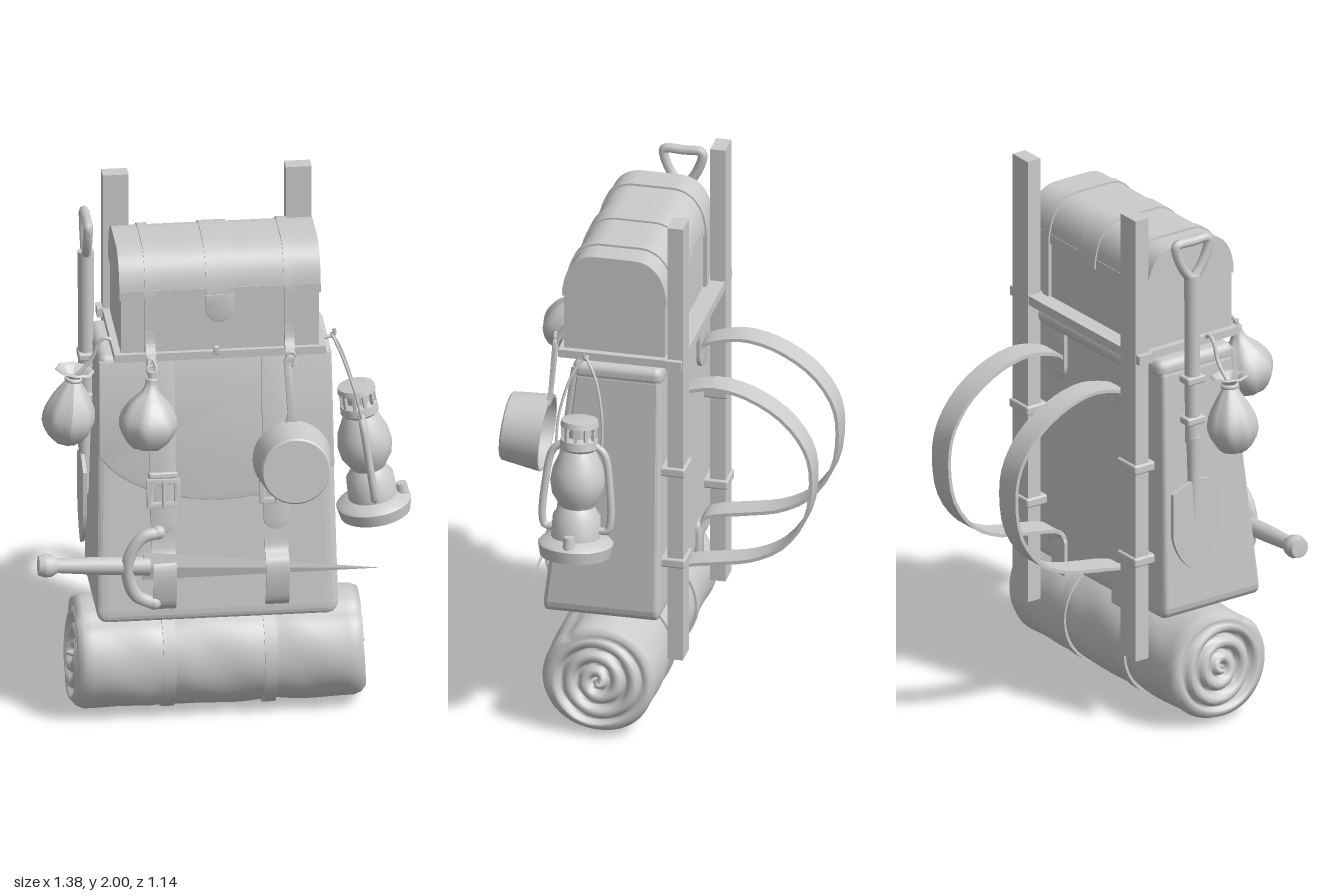
import * as THREE from 'three';
import { toCreasedNormals, mergeVertices } from 'three/addons/utils/BufferGeometryUtils.js';
import { RoundedBoxGeometry } from 'three/addons/geometries/RoundedBoxGeometry.js';

const mat = new THREE.MeshStandardMaterial({ color: 0xcccccc, side: THREE.DoubleSide });
const V = (x, y, z) => new THREE.Vector3(x, y, z);
const P = (x, y) => new THREE.Vector2(x, y);

function add(parent, name, geo, x = 0, y = 0, z = 0, rx = 0, ry = 0, rz = 0) {
  const m = new THREE.Mesh(geo, mat);
  m.name = name;
  m.position.set(x, y, z);
  m.rotation.set(rx, ry, rz);
  parent.add(m);
  return m;
}
function sub(parent, name, x, y, z, rx = 0, ry = 0, rz = 0) {
  const g = new THREE.Group();
  g.name = name;
  g.position.set(x, y, z);
  g.rotation.set(rx, ry, rz);
  parent.add(g);
  return g;
}
const box = (w, h, d, r = 0.008) => new RoundedBoxGeometry(w, h, d, 2, r);
const cyl = (a, b, h, n = 20) => new THREE.CylinderGeometry(a, b, h, n);
const tube = (pts, r, n = 32) => new THREE.TubeGeometry(new THREE.CatmullRomCurve3(pts), n, r, 8);
const lathe = (pts, n = 32) => toCreasedNormals(new THREE.LatheGeometry(pts.map(p => P(...p)), n), 0.6);
const extrude = (shape, depth, bevel = 0) => toCreasedNormals(new THREE.ExtrudeGeometry(shape, {
  depth, curveSegments: 14, bevelEnabled: bevel > 0, bevelSize: bevel, bevelThickness: bevel, bevelSegments: 2 }), 0.6);
// Shape drawn in (z, y), extruded along x and centred there
const extrudeX = (shape, w) => extrude(shape, w).translate(0, 0, -w / 2).rotateY(-Math.PI / 2);

// Strap end: straight top, round bottom
function tongue(w, y0, y1, depth = 0.012) {
  const s = new THREE.Shape(), h = w / 2;
  s.moveTo(h, y1); s.lineTo(-h, y1); s.lineTo(-h, y0 + h);
  s.absarc(0, y0 + h, h, Math.PI, Math.PI * 2, false);
  return extrude(s, depth, 0.002);
}
// Band of even thickness following (z, y) points
function ribbon(pts, w, t) {
  const c = new THREE.SplineCurve(pts.map(p => P(...p))), a = [], b = [];
  for (let i = 0; i <= 40; i++) {
    const p = c.getPoint(i / 40), d = c.getTangent(i / 40);
    a.push(P(p.x - d.y * t / 2, p.y + d.x * t / 2));
    b.unshift(P(p.x + d.y * t / 2, p.y - d.x * t / 2));
  }
  return extrudeX(new THREE.Shape([...a, ...b]), w);
}
// Arched chest outline, grown by o, from height y0 up
function arch(o, y0) {
  const s = new THREE.Shape(), f = 0.33 + o, b = -0.05 - o, t = 1.845 + o;
  s.moveTo(b, y0); s.lineTo(f, y0); s.lineTo(f, 1.68);
  s.bezierCurveTo(f, 1.78, 0.29, t, 0.21, t);
  s.lineTo(0.07, t);
  s.bezierCurveTo(-0.01, t, b, 1.78, b, 1.68);
  return s;
}
// Rolled mat with spiral ends and soft folds
function matRoll(R, half) {
  const pts = [], caps = 20;
  for (let i = 0; i <= caps; i++) pts.push(P((R - 0.035) * i / caps, -half));
  pts.push(P(R - 0.012, -half + 0.012));
  for (let i = 0; i <= 36; i++) pts.push(P(R, (-1 + i / 18) * (half - 0.04)));
  pts.push(P(R - 0.012, half - 0.012));
  for (let i = caps; i >= 0; i--) pts.push(P((R - 0.035) * i / caps, half));
  let g = new THREE.LatheGeometry(pts, 72);
  const p = g.attributes.position;
  for (let i = 0; i < p.count; i++) {
    const x = p.getX(i), y = p.getY(i), z = p.getZ(i), r = Math.hypot(x, z), a = Math.atan2(z, x);
    if (Math.abs(y) > half - 0.001) {
      const groove = Math.pow(Math.abs(Math.cos(Math.PI * (r / 0.06 - a / (2 * Math.PI)))), 5);
      p.setY(i, y - Math.sign(y) * (0.03 * groove + 0.012 * Math.sin(a + 1)));
    } else {
      const pinch = Math.exp(-Math.pow((Math.abs(y) - 0.19) / 0.05, 2));
      const k = 1 - 0.03 * pinch + 0.02 * Math.sin(3 * a + 14 * y) * Math.sin(9 * y + a)
        - 0.06 * Math.exp(-Math.pow((a - 0.6) / 0.12, 2)) * (0.4 + Math.abs(y));
      p.setXYZ(i, x * k, y, z * k);
    }
  }
  g.deleteAttribute('normal'); g.deleteAttribute('uv');
  g = mergeVertices(g, 1e-4);
  g.computeVertexNormals();
  return g.rotateZ(Math.PI / 2);
}
// Soft pouch with pleats gathered at the neck
function pouch(pts, folds) {
  const g = new THREE.LatheGeometry(new THREE.SplineCurve(pts.map(p => P(...p))).getPoints(18), 28), p = g.attributes.position;
  for (let i = 0; i < p.count; i++) {
    const a = Math.atan2(p.getZ(i), p.getX(i)), k = 1 + 0.05 * Math.cos(folds * a) + 0.03 * Math.sin(2 * a + 8 * p.getY(i));
    p.setX(i, p.getX(i) * k); p.setZ(i, p.getZ(i) * k);
  }
  g.computeVertexNormals();
  return g;
}

export function createModel() {
  const root = new THREE.Group();
  root.name = 'travelPack';

  // Carrying frame
  for (const x of [-0.352, 0.313]) {
    add(root, 'framePost', new THREE.BoxGeometry(0.094, 1.735, 0.057), x, 1.1325, -0.089);
    for (const y of [1.02, 0.655]) add(root, 'postBand', box(0.115, 0.036, 0.1), x, y, -0.077);
  }
  add(root, 'shelf', new THREE.BoxGeometry(0.77, 0.03, 0.4), -0.015, 1.455, 0.145);
  add(root, 'frameBar', new THREE.BoxGeometry(0.8, 0.035, 0.06), -0.02, 1.455, -0.085);

  // Bag body, deeper toward the bottom
  const bag = box(1, 1, 1, 0.045), bp = bag.attributes.position;
  for (let i = 0; i < bp.count; i++) {
    const t = bp.getY(i) + 0.5, depth = 0.44 - 0.125 * t;
    bp.setXYZ(i, -0.03 + bp.getX(i) * (0.88 - 0.035 * t), 0.425 + t, -0.04 + depth * (bp.getZ(i) + 0.5));
  }
  bag.computeVertexNormals();
  add(root, 'bagBody', bag);
  add(root, 'flapTop', box(0.85, 0.07, 0.335, 0.03), -0.028, 1.405, 0.12);
  add(root, 'flapFold', cyl(0.045, 0.045, 0.56, 16), -0.02, 1.39, -0.03, 0, 0, Math.PI / 2);
  for (const x of [-0.225, 0.185]) add(root, 'topStrap', box(0.09, 0.02, 0.34), x, 1.44, 0.12);

  // Everything lying on the sloping front panel
  const front = sub(root, 'frontPanel', 0, 0.43, 0.4, -0.124);
  const flap = new THREE.Shape();
  flap.moveTo(0.39, 0.99); flap.lineTo(-0.445, 0.99); flap.lineTo(-0.45, 0.64);
  flap.bezierCurveTo(-0.36, 0.49, -0.1, 0.45, 0.02, 0.46);
  flap.bezierCurveTo(0.2, 0.47, 0.34, 0.5, 0.395, 0.57);
  add(front, 'flap', extrude(flap, 0.014, 0.005), 0, 0, -0.006);
  for (const x of [-0.225, 0.185]) {
    add(front, 'frontStrap', tongue(0.09, 0.34, 1.0), x, 0, 0.012);
    const frame = new THREE.Shape([P(-0.058, -0.052), P(0.058, -0.052), P(0.058, 0.052), P(-0.058, 0.052)]);
    frame.holes.push(new THREE.Path([P(-0.042, -0.036), P(-0.042, 0.036), P(0.042, 0.036), P(0.042, -0.036)]));
    add(front, 'buckleFrame', extrude(frame, 0.012, 0.003), x, 0.495, 0.028);
    add(front, 'bucklePin', cyl(0.007, 0.007, 0.1, 8), x, 0.495, 0.042);
    add(front, 'keeper', box(0.105, 0.025, 0.03), x, 0.56, 0.02);
    // Lower strap looping over the blade
    add(front, 'bladeLoop', ribbon([[0, 0.05], [0.025, 0.08], [0.048, 0.16], [0.048, 0.22], [0.012, 0.27], [0.01, 0.4]], 0.085, 0.01), x);
  }

  // Sleeping roll with its straps
  add(root, 'sleepingRoll', matRoll(0.207, 0.53), -0.013, 0.217, 0.168);
  for (const x of [-0.2, 0.168]) {
    add(root, 'rollStrap', cyl(0.211, 0.211, 0.046, 40), x, 0.214, 0.168, 0, 0, Math.PI / 2);
    add(root, 'rollTab', tongue(0.075, -0.16, 0.0), x, 0.4, -0.04, 0, Math.PI, Math.PI);
  }

  // Shoulder straps
  const loop = [[-0.03, 1.2], [-0.055, 1.26], [-0.12, 1.29], [-0.22, 1.305], [-0.34, 1.275], [-0.46, 1.2], [-0.54, 1.09],
    [-0.562, 0.97], [-0.54, 0.82], [-0.46, 0.7], [-0.35, 0.635], [-0.22, 0.607], [-0.12, 0.59], [-0.06, 0.565], [-0.04, 0.5]];
  for (const x of [-0.231, 0.184]) {
    add(root, 'shoulderStrap', ribbon(loop, 0.1, 0.013), x);
    add(root, 'strapPatch', tongue(0.11, 1.17, 1.41), x, 0, -0.054);
  }

  // Chest with lid and bands
  add(root, 'chestBase', extrudeX(arch(-0.003, 1.465), 0.72), -0.015);
  add(root, 'chestLid', extrudeX(arch(0.003, 1.715), 0.732), -0.015);
  for (const x of [-0.27, 0.236]) {
    add(root, 'chestBand', extrudeX(arch(0.011, 1.465), 0.037), x);
    add(root, 'hangingStrap', ribbon([[0.338, 1.56], [0.345, 1.51], [0.37, 1.47], [0.375, 1.44]], 0.035, 0.01), x);
    add(root, 'hangingRing', new THREE.TorusGeometry(0.016, 0.005, 8, 16), x, 1.455, 0.385);
  }
  add(root, 'lidBand', extrudeX(arch(0.01, 1.68), 0.1), -0.016);
  add(root, 'lidTongue', tongue(0.1, 1.585, 1.69), -0.016, 0, 0.328);
  add(root, 'chestLatch', box(0.02, 0.03, 0.02, 0.004), -0.03, 1.475, 0.345);

  // Sword across the front
  const sword = sub(root, 'sword', -0.3, 0.656, 0.41, 0, 0, -0.056);
  add(sword, 'blade', new THREE.ConeGeometry(0.055, 0.87, 4).toNonIndexed().rotateZ(-Math.PI / 2).scale(1, 1, 0.2), 0.43)
    .geometry.computeVertexNormals();
  add(sword, 'grip', lathe([[0, -0.39], [0.036, -0.385], [0.044, -0.36], [0.04, -0.335], [0.027, -0.315], [0.032, -0.18], [0.034, 0.02], [0, 0.02]], 16)
    .rotateZ(-Math.PI / 2));
  add(sword, 'guard', tube([V(0.055, 0.135, 0), V(-0.01, 0.12, 0.01), V(-0.055, 0.05, 0.015), V(-0.058, -0.03, 0.015),
    V(-0.025, -0.11, 0.01), V(0.035, -0.145, 0)], 0.024));
  for (const y of [0.135, -0.145]) add(sword, 'guardEnd', new THREE.SphereGeometry(0.026, 12, 8), 0.045, y, 0);

  // Frying pan, open side toward the bag
  const pan = sub(root, 'pan', 0.237, 1.07, 0.49, -0.09);
  add(pan, 'panBowl', lathe([[0, 0.06], [0.116, 0.06], [0.132, -0.075], [0.143, -0.075], [0.126, 0.07], [0.12, 0.076], [0, 0.076]], 40).rotateX(Math.PI / 2));
  const handle = new THREE.Shape();
  handle.moveTo(-0.024, 0.125); handle.lineTo(0.024, 0.125); handle.lineTo(0.012, 0.17); handle.lineTo(0.024, 0.36);
  handle.absarc(0, 0.37, 0.024, 0, Math.PI, false);
  handle.lineTo(-0.012, 0.17);
  const eye = new THREE.Path();
  eye.absellipse(0, 0.365, 0.009, 0.018, 0, Math.PI * 2, true);
  handle.holes.push(eye);
  add(pan, 'panHandle', extrude(handle, 0.01, 0.002), 0, 0, -0.078);

  // Water gourd
  const gourd = sub(root, 'gourd', -0.29, 1.245, 0.45, -0.18, 0, -0.1);
  add(gourd, 'gourdBody', pouch([[0.001, -0.1], [0.06, -0.088], [0.1, -0.03], [0.1, 0.02], [0.07, 0.075], [0.032, 0.115], [0.02, 0.15], [0.022, 0.165], [0.001, 0.17]], 7));
  add(gourd, 'gourdStopper', cyl(0.016, 0.013, 0.03, 10), 0, 0.175);
  add(root, 'gourdCord', tube([V(-0.275, 1.4, 0.42), V(-0.285, 1.44, 0.405), V(-0.27, 1.47, 0.385), V(-0.255, 1.44, 0.4), V(-0.268, 1.4, 0.42)], 0.006));

  // Tied sack on the side
  const sack = sub(root, 'sack', -0.552, 1.17, 0.205, 0, 0, -0.12);
  add(sack, 'sackBody', pouch([[0.001, -0.1], [0.05, -0.092], [0.09, -0.03], [0.088, 0.03], [0.06, 0.09], [0.028, 0.14], [0.022, 0.155], [0.055, 0.19], [0.068, 0.185]], 8));
  add(sack, 'sackTie', new THREE.TorusGeometry(0.025, 0.009, 8, 18), 0, 0.15, 0, Math.PI / 2);
  add(root, 'sackCord', tube([V(-0.535, 1.32, 0.205), V(-0.47, 1.39, 0.2), V(-0.44, 1.46, 0.2), V(-0.42, 1.475, 0.2), V(-0.38, 1.455, 0.2)], 0.007));

  // Shovel strapped to the side
  const shovel = sub(root, 'shovel', -0.482, 0, 0.08);
  add(shovel, 'shovelShaft', cyl(0.03, 0.027, 0.66, 16), 0.006, 1.44);
  add(shovel, 'shovelSocket', cyl(0.026, 0.016, 0.33, 14), 0, 0.97);
  add(shovel, 'shovelGrip', tube([V(0.006, 1.75, 0), V(0.006, 1.79, 0.035), V(0.006, 1.86, 0.068), V(0.006, 1.897, 0.07),
    V(0.006, 1.9, 0), V(0.006, 1.897, -0.07), V(0.006, 1.86, -0.068), V(0.006, 1.79, -0.035), V(0.006, 1.75, 0)], 0.018, 60));
  const spade = new THREE.Shape();
  spade.moveTo(-0.1, 0.93); spade.lineTo(-0.1, 0.76);
  spade.quadraticCurveTo(-0.08, 0.66, 0, 0.61);
  spade.quadraticCurveTo(0.08, 0.66, 0.1, 0.76);
  spade.lineTo(0.1, 0.93);
  spade.quadraticCurveTo(0.05, 0.97, 0, 0.97);
  add(shovel, 'shovelBlade', extrudeX(spade, 0.014), -0.008);
  for (const y of [1.36, 1.2]) add(shovel, 'shovelBand', box(0.08, 0.03, 0.08), 0.015, y);

  // Lantern leaning on its hook
  const lamp = sub(root, 'lantern', 0.56, 0.75, 0.235, 0, 0, 0.14);
  add(lamp, 'lanternBody', lathe([[0, 0], [0.128, 0], [0.137, 0.045], [0.128, 0.055], [0.09, 0.07], [0.086, 0.15], [0.062, 0.185], [0.07, 0.2],
    [0.092, 0.235], [0.1, 0.28], [0.092, 0.33], [0.068, 0.385], [0.06, 0.4], [0.07, 0.41], [0.068, 0.44], [0.045, 0.45], [0.045, 0.49],
    [0.07, 0.492], [0.066, 0.512], [0, 0.52]], 36));
  for (let i = 0; i < 10; i++) {
    const a = i * Math.PI / 5;
    add(lamp, 'ventRib', new THREE.BoxGeometry(0.012, 0.06, 0.012), 0.06 * Math.cos(a), 0.465, 0.06 * Math.sin(a), 0, -a);
  }
  for (const s of [-1, 1]) {
    add(lamp, 'sideTube', tube([V(0, 0.1, s * 0.07), V(0, 0.1, s * 0.115), V(0, 0.13, s * 0.126), V(0, 0.26, s * 0.12),
      V(0, 0.39, s * 0.095), V(0, 0.425, s * 0.05)], 0.014));
    add(lamp, 'bail', tube([V(0, 0.41, s * 0.085), V(-0.01, 0.52, s * 0.08), V(-0.035, 0.66, s * 0.045), V(-0.058, 0.735, 0)], 0.005));
  }
  add(lamp, 'fillerCap', cyl(0.02, 0.024, 0.045, 12), 0.108, 0.075);
  add(root, 'lanternHook', tube([V(0.34, 1.455, 0.235), V(0.38, 1.455, 0.235), V(0.41, 1.465, 0.235), V(0.41, 1.485, 0.235)], 0.007));
  return root;
}
